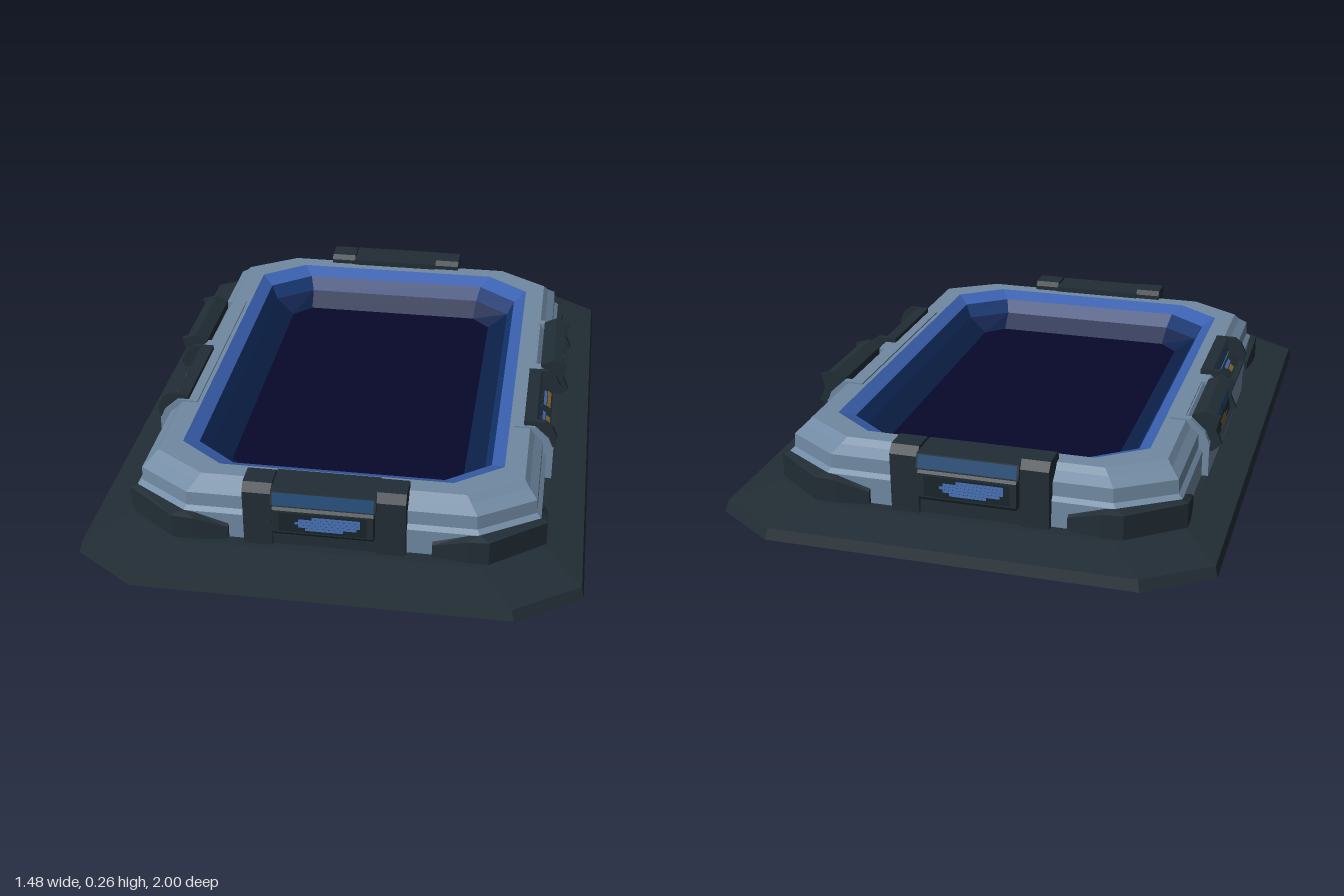
import * as THREE from 'three';

const mat = (name, color) => {
  const m = new THREE.MeshStandardMaterial({ color, side: THREE.DoubleSide, flatShading: true });
  m.name = name;
  return m;
};

const M = {
  dark: mat('dark steel', 0x212d35),
  frame: mat('frame steel', 0x19242b),
  grey: mat('blue grey metal', 0x7089a2),
  rimBlue: mat('rim blue', 0x3a60b0),
  wallBlue: mat('wall blue', 0x143570),
  deepBlue: mat('deep blue', 0x0c2049),
  floor: mat('pool floor navy', 0x08082b),
  glass: mat('glass blue', 0x1f4873),
  screen: mat('screen blue', 0x4873b8),
  amber: mat('amber light', 0x8a6632),
};

function add(parent, name, geometry, material) {
  const mesh = new THREE.Mesh(geometry, material);
  mesh.name = name;
  parent.add(mesh);
  return mesh;
}

// Chamfered rectangle, counter-clockwise seen from above
function octagon(hx, hz, cx, cz, y) {
  return [
    [hx, y, hz - cz], [hx, y, -hz + cz], [hx - cx, y, -hz], [-hx + cx, y, -hz],
    [-hx, y, -hz + cz], [-hx, y, hz - cz], [-hx + cx, y, hz], [hx - cx, y, hz],
  ];
}

// Faceted skin through closed loops of equal length
function loft(loops, caps = false) {
  const pos = [];
  const quad = (a, b, c, d) => pos.push(...a, ...b, ...c, ...a, ...c, ...d);
  for (let k = 0; k < loops.length - 1; k++) {
    const lo = loops[k], hi = loops[k + 1], n = lo.length;
    for (let i = 0; i < n; i++) quad(lo[i], lo[(i + 1) % n], hi[(i + 1) % n], hi[i]);
  }
  if (caps) {
    const s = loops[0], e = loops[loops.length - 1];
    quad(s[3], s[2], s[1], s[0]);
    quad(e[0], e[1], e[2], e[3]);
  }
  const g = new THREE.BufferGeometry();
  g.setAttribute('position', new THREE.Float32BufferAttribute(pos, 3));
  g.computeVertexNormals();
  return g;
}

// Profile in (outward, up), drawn out along z from z0 to z1
function bar(profile, z0, z1) {
  const shape = new THREE.Shape(profile.map(p => new THREE.Vector2(...p)));
  return new THREE.ExtrudeGeometry(shape, { depth: z1 - z0, bevelEnabled: false }).translate(0, 0, z0);
}

// Flat inlay lying on the profile edge p-q (p lower), between fractions t0 and t1
function inlay(p, q, t0, t1, z0, z1, lift = 0.003) {
  const len = Math.hypot(q[0] - p[0], q[1] - p[1]);
  const nx = (q[1] - p[1]) / len * lift, ny = -(q[0] - p[0]) / len * lift;
  const at = (t, z) => [p[0] + (q[0] - p[0]) * t + nx, p[1] + (q[1] - p[1]) * t + ny, z];
  const g = new THREE.BufferGeometry();
  const a = at(t0, z1), b = at(t0, z0), c = at(t1, z0), d = at(t1, z1);
  g.setAttribute('position', new THREE.Float32BufferAttribute([...a, ...b, ...c, ...a, ...c, ...d], 3));
  g.computeVertexNormals();
  return g;
}

// Console at the middle of each short side: two posts, a core and a screen
function endConsole() {
  const g = new THREE.Group();
  const post = [[0.72, 0.05], [0.822, 0.05], [0.825, 0.235], [0.805, 0.26], [0.735, 0.26], [0.72, 0.245]];
  for (const s of [-1, 1]) add(g, 'consolePost', bar(post, s * 0.195 - 0.0425, s * 0.195 + 0.0425), M.dark);
  const core = [[0.715, 0.05], [0.812, 0.05], [0.812, 0.2], [0.84, 0.207], [0.828, 0.25], [0.715, 0.25]];
  add(g, 'consoleCore', bar(core, -0.153, 0.153), M.dark);
  add(g, 'consoleWindow', inlay(core[3], core[4], 0.05, 0.93, -0.147, 0.147), M.glass);
  const panel = [[0.81, 0.11], [0.838, 0.11], [0.845, 0.12], [0.845, 0.195], [0.838, 0.203], [0.81, 0.203]];
  add(g, 'consolePanel', bar(panel, -0.147, 0.147), M.dark);
  add(g, 'screenRecess', inlay(panel[2], panel[3], 0.08, 0.92, -0.128, 0.128, 0.002), M.frame);
  // Screen made of staggered lines
  const lines = [[-0.06, 0.05], [-0.1, 0.07], [-0.11, 0.08], [-0.11, 0.07], [-0.11, 0.03]];
  lines.forEach(([a, b], i) =>
    add(g, 'screenLine', inlay(panel[2], panel[3], 0.2 + i * 0.13, 0.325 + i * 0.13, a, b, 0.004), M.screen));
  return g;
}

// Long side: wall block carrying an upper and a lower module
function sideConsole() {
  const g = new THREE.Group();
  add(g, 'sideBlock', bar([[0.5, 0.05], [0.625, 0.05], [0.625, 0.165], [0.545, 0.165], [0.545, 0.236], [0.5, 0.236]],
    -0.355, 0.355), M.grey);
  const shoulder = [[0.54, 0.16], [0.625, 0.16], [0.61, 0.195], [0.565, 0.236], [0.54, 0.236]];
  for (const [a, b] of [[-0.355, -0.33], [-0.045, 0.025], [0.34, 0.355]])
    add(g, 'sideBlockShoulder', bar(shoulder, a, b), M.grey);
  const lining = [[0.496, 0.046], [0.62, 0.046], [0.62, 0.06], [0.51, 0.06], [0.51, 0.2], [0.496, 0.2]];
  add(g, 'sideBlockLining', bar(lining, -0.352, 0.352), M.dark);

  // Upper module: sloped screen desk under a window, between two end ribs
  const upper = [[0.53, 0.165], [0.63, 0.165], [0.63, 0.172], [0.612, 0.174], [0.575, 0.203],
    [0.567, 0.24], [0.575, 0.243], [0.568, 0.25], [0.53, 0.25]];
  add(g, 'upperModule', bar(upper, 0.02, 0.345), M.dark);
  const upperRib = [[0.53, 0.165], [0.63, 0.165], [0.634, 0.2], [0.618, 0.235], [0.595, 0.252], [0.53, 0.252]];
  for (const z of [0.018, 0.332]) add(g, 'upperModuleRib', bar(upperRib, z, z + 0.015), M.dark);
  add(g, 'upperWindow', inlay(upper[4], upper[5], 0.12, 0.9, 0.035, 0.33), M.glass);
  add(g, 'upperLight', inlay(upper[3], upper[4], 0.2, 0.5, 0.05, 0.145), M.amber);
  add(g, 'upperLight', inlay(upper[3], upper[4], 0.15, 0.5, 0.2, 0.25), M.amber);
  add(g, 'upperScreen', inlay(upper[3], upper[4], 0.55, 0.8, 0.06, 0.15), M.screen);
  add(g, 'upperScreen', inlay(upper[3], upper[4], 0.55, 0.8, 0.19, 0.27), M.screen);

  // Lower module: twin windows above a light panel, lip on top and notched ribs at the ends
  const lower = [[0.565, 0.13], [0.632, 0.13], [0.652, 0.148], [0.64, 0.152], [0.636, 0.195],
    [0.626, 0.24], [0.638, 0.244], [0.605, 0.257], [0.565, 0.24]];
  add(g, 'lowerModule', bar(lower, -0.325, -0.04), M.dark);
  const lowerRib = [[0.565, 0.13], [0.632, 0.13], [0.66, 0.155], [0.64, 0.2], [0.652, 0.243], [0.605, 0.259], [0.565, 0.24]];
  for (const z of [-0.335, -0.045]) add(g, 'lowerModuleRib', bar(lowerRib, z, z + 0.015), M.dark);
  for (const z of [-0.25, -0.113])
    add(g, 'lowerWindow', inlay(lower[4], lower[5], 0.12, 0.9, z - 0.062, z + 0.062), M.glass);
  [[-0.235, -0.13], [-0.215, -0.105], [-0.235, -0.15]].forEach(([a, b], i) =>
    add(g, 'lowerLight', inlay(lower[3], lower[4], 0.14 + i * 0.24, 0.34 + i * 0.24, a, b), M.amber));
  return g;
}

// Armour piece wrapped round one corner
function cornerGuard() {
  const outer = [[0.3, 0.812], [0.4, 0.825], [0.465, 0.825], [0.625, 0.7], [0.625, 0.65], [0.615, 0.55]];
  const inner = [[0.3, 0.799], [0.4, 0.799], [0.435, 0.799], [0.604, 0.69], [0.604, 0.64], [0.604, 0.55]];
  const top = [0.095, 0.125, 0.13, 0.13, 0.122, 0.08];
  return loft(outer.map(([x, z], i) => {
    const [u, w] = inner[i];
    return [[x, 0.045, z], [x, top[i], z], [u, top[i] + 0.006, w], [u, 0.045, w]];
  }), true);
}

export function createModel() {
  const model = new THREE.Group();
  model.name = 'sunkenPool';

  // Hollow ground plate
  add(model, 'basePlate', loft([
    octagon(0.61, 0.805, 0.17, 0.11, 0),
    octagon(0.74, 1.0, 0.19, 0.13, 0),
    octagon(0.733, 0.99, 0.19, 0.13, 0.033),
    octagon(0.62, 0.84, 0.18, 0.12, 0.054),
    octagon(0.605, 0.8, 0.17, 0.11, 0.054),
  ]), M.dark);

  // Raised rim, stepped outside and bevelled on top
  add(model, 'rim', loft([
    octagon(0.605, 0.8, 0.17, 0.11, 0.03),
    octagon(0.605, 0.8, 0.17, 0.11, 0.135),
    octagon(0.592, 0.787, 0.165, 0.108, 0.147),
    octagon(0.59, 0.785, 0.165, 0.108, 0.19),
    octagon(0.565, 0.755, 0.16, 0.105, 0.212),
    octagon(0.55, 0.74, 0.16, 0.105, 0.231),
    octagon(0.487, 0.685, 0.14, 0.105, 0.231),
  ]), M.grey);

  // Basin in three blue bands, then the floor
  const basin = [
    octagon(0.487, 0.685, 0.14, 0.105, 0.231),
    octagon(0.447, 0.64, 0.13, 0.1, 0.208),
    octagon(0.425, 0.61, 0.12, 0.09, 0.165),
    octagon(0.36, 0.55, 0.06, 0.06, 0.122),
  ];
  [['basinLip', M.rimBlue], ['basinWall', M.wallBlue], ['basinSlope', M.deepBlue]].forEach(([name, m], i) =>
    add(model, name, loft([basin[i], basin[i + 1]]), m));
  const floorShape = new THREE.Shape(basin[3].map(([x, , z]) => new THREE.Vector2(x, -z)));
  const floor = add(model, 'poolFloor', new THREE.ShapeGeometry(floorShape).rotateX(-Math.PI / 2), M.floor);
  floor.position.y = 0.122;

  // Consoles and corner guards, mirrored about the centre
  const guard = cornerGuard();
  for (const s of [1, -1]) {
    const end = endConsole();
    end.name = s > 0 ? 'frontConsole' : 'backConsole';
    end.rotation.y = -s * Math.PI / 2;
    end.position.x = -0.0125;
    model.add(end);

    const side = sideConsole();
    side.name = s > 0 ? 'leftConsole' : 'rightConsole';
    side.scale.x = s;
    model.add(side);

    for (const t of [1, -1]) add(model, 'cornerGuard', guard, M.dark).scale.set(s, 1, t);
  }
  return model;
}
